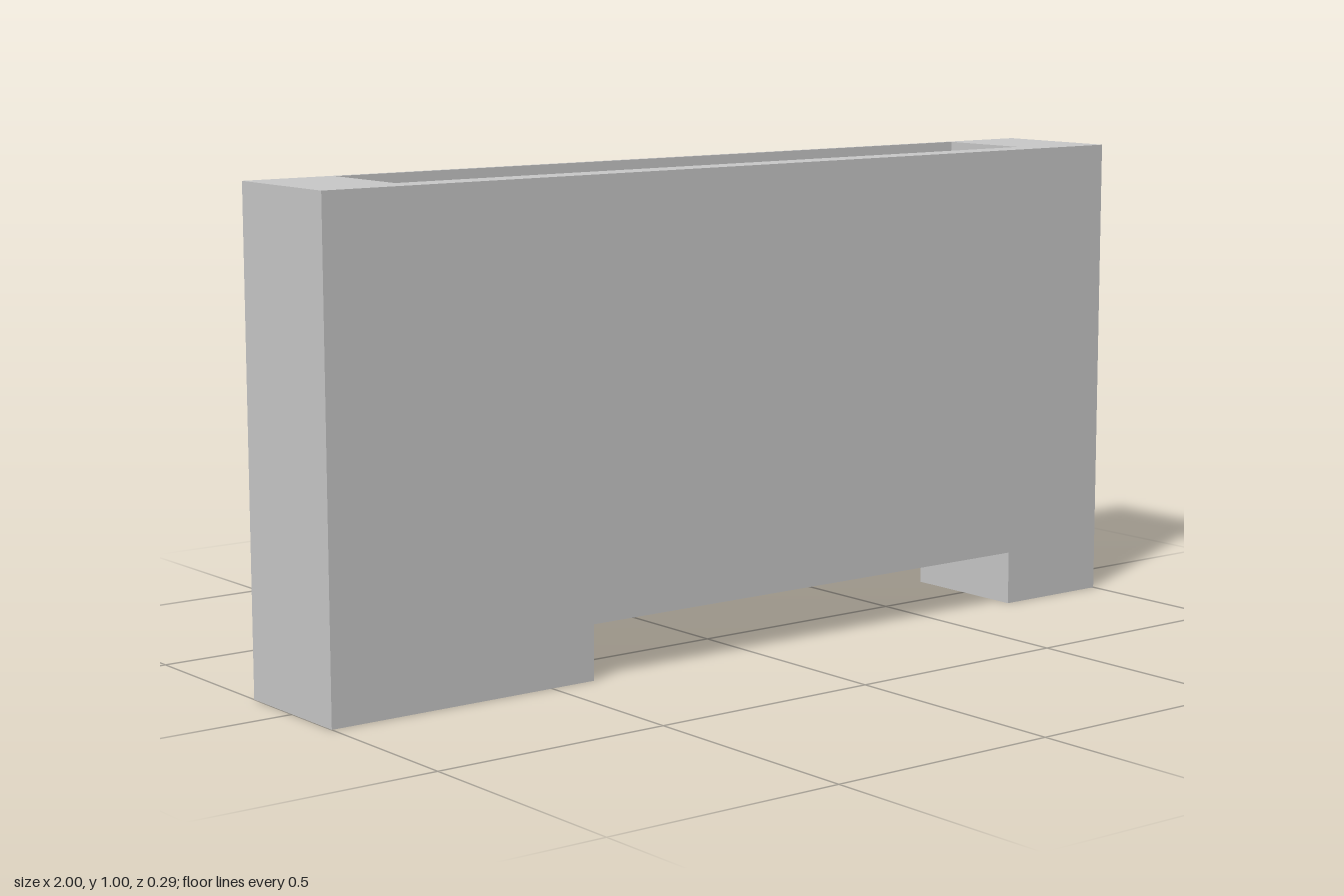
import * as THREE from 'three';

// Depth limits: outer faces and the cavity between the walls
const BACK = -0.143, CAV_BACK = -0.133, CAV_FRONT = 0.08, FRONT = 0.143;
// Heights: cavity floor, notch ceiling and the ledges at both cavity ends
const FLOOR = 0.106, NOTCH = 0.114, LEDGE = 0.19;
// Cavity half width above the ledges and below them
const WIDE = 0.803, NARROW = 0.69;
const NOTCH_RIGHT = -0.398, NOTCH_LEFT = 0.733, RIB = -0.465;

export function createModel() {
  const group = new THREE.Group();
  const grey = new THREE.MeshStandardMaterial({ color: 0xc8c8c8 });
  grey.name = 'lightGrey';

  const add = (name, geometry) => {
    const mesh = new THREE.Mesh(geometry, grey);
    mesh.name = name;
    group.add(mesh);
  };

  // Extrudes an x-y outline between two depths
  const slab = (name, points, z0, z1) => {
    const shape = new THREE.Shape(points.map(([x, y]) => new THREE.Vector2(x, y)));
    const geometry = new THREE.ExtrudeGeometry(shape, { depth: z1 - z0, bevelEnabled: false });
    add(name, geometry.translate(0, 0, z0));
  };

  // Broad walls with the notch along the bottom
  const wall = [[-1, 0], [NOTCH_RIGHT, 0], [NOTCH_RIGHT, NOTCH], [NOTCH_LEFT, NOTCH],
    [NOTCH_LEFT, 0], [1, 0], [1, 1], [-1, 1]];
  slab('frontWall', wall, CAV_FRONT, FRONT);
  slab('backWall', wall, BACK, CAV_BACK);

  // End blocks, each with a flat ledge low in the cavity
  slab('leftEnd', [[NOTCH_LEFT, 0], [1, 0], [1, 1], [WIDE, 1], [WIDE, LEDGE], [NARROW, LEDGE],
    [NARROW, NOTCH], [NOTCH_LEFT, NOTCH]], CAV_BACK, CAV_FRONT);
  slab('rightEnd', [[-1, 0], [-NARROW, 0], [-NARROW, LEDGE], [-WIDE, LEDGE], [-WIDE, 1], [-1, 1]],
    CAV_BACK, CAV_FRONT);

  // Rib between the notch and the funnel
  slab('footRib', [[RIB, 0], [NOTCH_RIGHT, 0], [NOTCH_RIGHT, FLOOR], [RIB, FLOOR]], CAV_BACK, CAV_FRONT);

  // Funnel under the foot, square hole and cavity floor, as rectangular rings
  const outer = [-NARROW, RIB, CAV_BACK, CAV_FRONT];
  const hole = [-0.629, -0.507, -0.088, 0.037];
  const rings = [[outer, 0], [hole, 0.053], [hole, FLOOR], [outer, FLOOR]].map(
    ([[x0, x1, z0, z1], y]) => [[x0, y, z0], [x1, y, z0], [x1, y, z1], [x0, y, z1]]);
  const positions = [];
  for (let r = 0; r < rings.length - 1; r++) {
    for (let i = 0; i < 4; i++) {
      const j = (i + 1) % 4, a = rings[r], b = rings[r + 1];
      positions.push(...a[i], ...a[j], ...b[j], ...a[i], ...b[j], ...b[i]);
    }
  }
  const funnel = new THREE.BufferGeometry();
  funnel.setAttribute('position', new THREE.Float32BufferAttribute(positions, 3));
  funnel.computeVertexNormals();
  add('footFunnel', funnel);

  return group;
}
